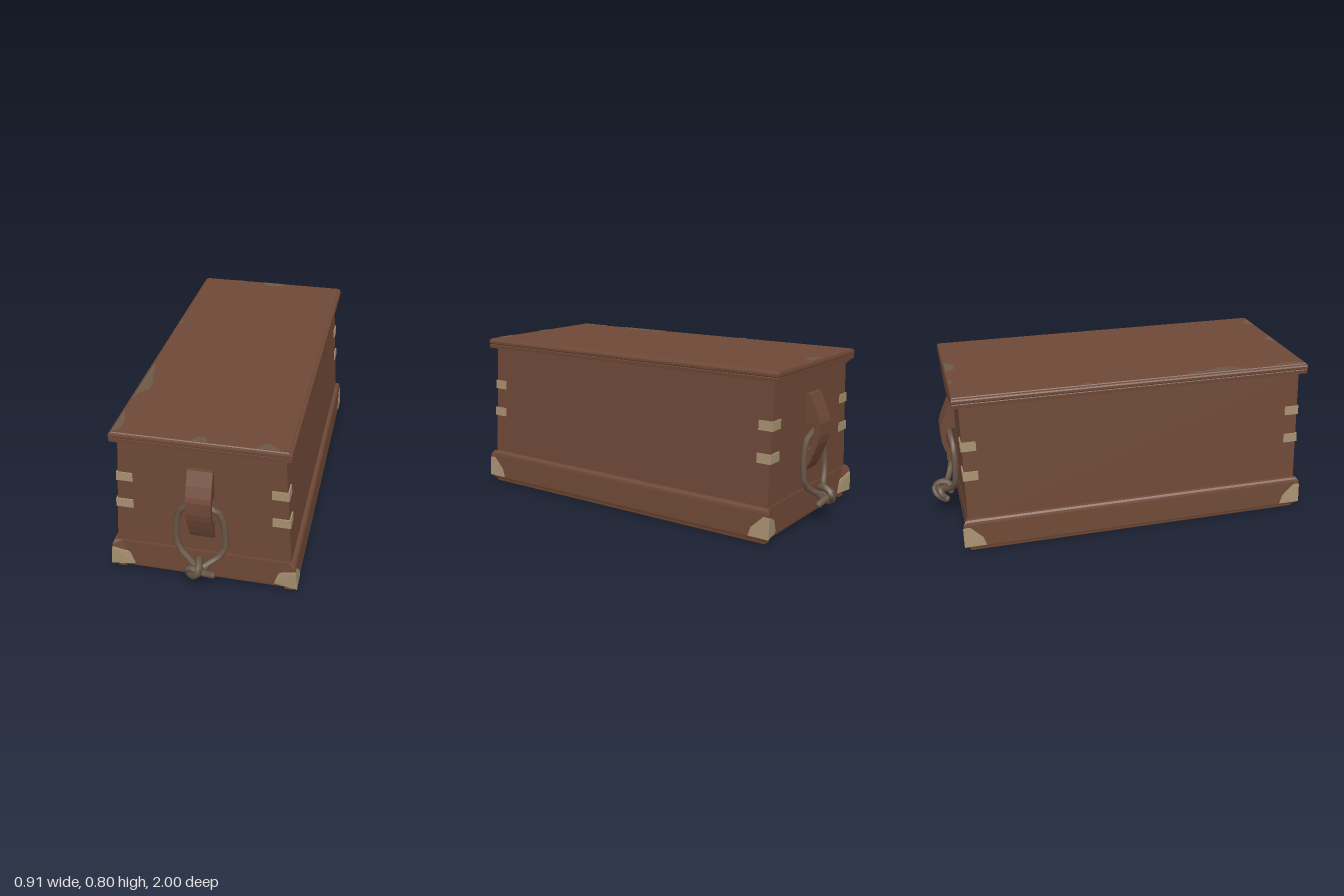
import * as THREE from 'three';
import { ConvexGeometry } from 'three/addons/geometries/ConvexGeometry.js';

const V = (x, y, z) => new THREE.Vector3(x, y, z);

// Stack of rectangular sections [y, halfX, halfZ], capped at both ends
function loft(levels) {
  const rings = levels.map(([y, x, z]) => [V(x, y, z), V(x, y, -z), V(-x, y, -z), V(-x, y, z)]);
  const pts = [];
  const quad = (a, b, c, d) => pts.push(a, b, c, a, c, d);
  for (let k = 0; k + 1 < rings.length; k++) {
    for (let i = 0; i < 4; i++) {
      const j = (i + 1) % 4;
      quad(rings[k][i], rings[k][j], rings[k + 1][j], rings[k + 1][i]);
    }
  }
  const [p, q, r, s] = rings[0];
  quad(s, r, q, p);
  quad(...rings[rings.length - 1]);
  const g = new THREE.BufferGeometry().setFromPoints(pts);
  g.computeVertexNormals();
  return g;
}

const shapeOf = pts => new THREE.Shape(pts.map(p => new THREE.Vector2(...p)));

function extrude(shape, depth) {
  return new THREE.ExtrudeGeometry(shape, { depth, bevelEnabled: false });
}

// Half width of the sloping chest sides at height y
const sideX = y => 0.42 - 0.04 * (y - 0.17) / 0.58;

export function createModel() {
  const model = new THREE.Group();
  const mat = (name, color) => {
    const m = new THREE.MeshStandardMaterial({ color });
    m.name = name;
    return m;
  };
  const wood = mat('brown wood', 0x6e4836);
  const brass = mat('pale metal', 0xa68f70);
  const ropeMat = mat('rope', 0x675545);
  const worn = mat('worn wood', 0x6c5847);
  const add = (name, geo, material, parent = model) => {
    const m = new THREE.Mesh(geo, material);
    m.name = name;
    parent.add(m);
    return m;
  };

  // Chest body, plinth with a recessed underside, and moulded lid
  add('body', loft([[0.15, sideX(0.15), 0.857], [0.76, sideX(0.76), 0.857]]), wood);
  add('plinth', loft([
    [0.045, 0.39, 0.825], [0.018, 0.39, 0.825], [0.018, 0.438, 0.856], [0.023, 0.447, 0.859],
    [0.034, 0.45, 0.86], [0.152, 0.443, 0.86], [0.164, 0.44, 0.86], [0.172, 0.432, 0.859], [0.175, 0.418, 0.858],
  ]), wood);
  add('lid', loft([
    [0.75, 0.409, 0.888], [0.768, 0.41, 0.889], [0.771, 0.407, 0.888], [0.775, 0.411, 0.89],
    [0.786, 0.411, 0.89], [0.793, 0.407, 0.888], [0.796, 0.398, 0.887], [0.8, 0.395, 0.884],
  ]), wood);

  // Runners under the long sides
  for (const sx of [1, -1]) {
    const runner = add('runner', loft([[0, 0.016, 0.85], [0.005, 0.019, 0.855], [0.022, 0.019, 0.855]]), wood);
    runner.position.x = sx * 0.41;
  }

  // Worn patches on the lid, as [x, z] outlines
  const patches = [
    [[-0.394, 0.24], [-0.375, 0.28], [-0.36, 0.38], [-0.34, 0.44], [-0.345, 0.5], [-0.375, 0.53], [-0.394, 0.6]],
    [[-0.394, 0.7], [-0.37, 0.76], [-0.36, 0.83], [-0.375, 0.87], [-0.394, 0.882]],
    [[-0.06, -0.882], [-0.03, -0.84], [0.02, -0.832], [0.06, -0.85], [0.075, -0.882]],
    [[-0.04, 0.882], [-0.02, 0.845], [0.02, 0.84], [0.04, 0.882]],
    [[0.25, 0.882], [0.28, 0.845], [0.31, 0.835], [0.36, 0.882]],
    [[-0.394, -0.28], [-0.378, -0.26], [-0.38, -0.23], [-0.394, -0.22]],
    [[-0.22, -0.882], [-0.21, -0.865], [-0.18, -0.865], [-0.17, -0.882]],
  ];
  for (const p of patches) {
    const g = new THREE.ShapeGeometry(shapeOf(p.map(([x, z]) => [x, -z])));
    add('wornPatch', g.rotateX(-Math.PI / 2).translate(0, 0.802, 0), worn);
  }

  for (const s of [1, -1]) {
    const end = new THREE.Group();
    end.name = s > 0 ? 'frontEnd' : 'backEnd';
    model.add(end);

    // Pointed flap hanging from the lid
    const flap = shapeOf([[-0.409, 0.752], [-0.38, 0.75], [-0.03, 0.687], [0.03, 0.687], [0.38, 0.75], [0.409, 0.752]]);
    add('lidFlap', extrude(flap, 0.032).translate(0, 0, s > 0 ? 0.856 : -0.888), wood, end);

    // Bowed loop that holds the rope; profile in z and y
    const bow = shapeOf([
      [0.85, 0.265], [0.866, 0.265], [0.884, 0.3], [0.905, 0.35], [0.922, 0.395], [0.931, 0.435],
      [0.932, 0.5], [0.925, 0.525], [0.905, 0.575], [0.876, 0.64], [0.85, 0.64],
    ]);
    bow.holes.push(new THREE.Path([[0.859, 0.37], [0.859, 0.5], [0.9, 0.5], [0.906, 0.43], [0.885, 0.37]].map(p => new THREE.Vector2(...p))));
    const bowGeo = extrude(bow, 0.118).translate(0, 0, -0.059).rotateY(-Math.PI / 2);
    if (s < 0) bowGeo.rotateY(Math.PI);
    add('ropeHolder', bowGeo, wood, end);

    // Rope ring and its knot
    const rope = (name, pts, r, seg) => {
      const v = pts.map(([x, y, z]) => V(x, y, z * s));
      add(name, new THREE.TubeGeometry(new THREE.CatmullRomCurve3(v), seg, r, 7), ropeMat, end);
      for (const p of [v[0], v[v.length - 1]]) {
        add('ropeEnd', new THREE.SphereGeometry(r, 7, 5).translate(p.x, p.y, p.z), ropeMat, end);
      }
    };
    rope('ropeRing', [
      [-0.02, 0.14, 0.935], [-0.065, 0.165, 0.905], [-0.107, 0.2, 0.889], [-0.122, 0.265, 0.88],
      [-0.105, 0.4, 0.877], [-0.06, 0.45, 0.884], [0, 0.462, 0.886], [0.06, 0.445, 0.884],
      [0.092, 0.415, 0.878], [0.111, 0.3, 0.879], [0.106, 0.21, 0.888], [0.065, 0.17, 0.905], [0.02, 0.145, 0.935],
    ], 0.0155, 18);
    rope('knotLoop', [
      [-0.055, 0.1, 0.935], [-0.02, 0.115, 0.975], [0.005, 0.145, 0.983], [0.003, 0.172, 0.955],
      [-0.01, 0.17, 0.91], [-0.025, 0.13, 0.905],
    ], 0.018, 12);
    rope('knotWrap', [
      [-0.05, 0.1, 0.93], [-0.055, 0.13, 0.955], [-0.03, 0.15, 0.965], [0.01, 0.135, 0.965], [0.062, 0.108, 0.945],
    ], 0.017, 10);
    rope('knotTail', [[-0.06, 0.103, 0.93], [-0.03, 0.1, 0.955], [0.005, 0.115, 0.95], [0.04, 0.155, 0.92]], 0.016, 8);

    for (const sx of [1, -1]) {
      const hull = (name, pts, material) =>
        add(name, new ConvexGeometry(pts.map(([x, y, z]) => V(x * sx, y, z * s))), material, end);

      // Metal corner guard with a wooden shoulder above it
      hull('cornerGuard', [
        [0.454, 0.036, 0.884], [0.445, 0.13, 0.885], [0.443, 0.142, 0.882], [0.34, 0.036, 0.862], [0.36, 0.1, 0.863],
        [0.452, 0.036, 0.775], [0.449, 0.08, 0.79], [0.444, 0.138, 0.85], [0.4, 0.036, 0.8], [0.4, 0.12, 0.85],
      ], brass);
      hull('cornerShoulder', [
        [0.444, 0.135, 0.883], [0.443, 0.155, 0.88], [0.433, 0.173, 0.868], [0.375, 0.11, 0.862],
        [0.4, 0.17, 0.86], [0.444, 0.13, 0.84], [0.433, 0.172, 0.84], [0.4, 0.12, 0.84],
      ], wood);

      // Two metal straps wrapped round each upright edge
      for (const [y0, y1, inner] of [[0.525, 0.57, 0.322], [0.375, 0.42, 0.327]]) {
        const a = sideX(y0) + 0.006, b = sideX(y1) + 0.006;
        const strap = (x0, x1, z0) => hull('edgeStrap', [z0, 0.863].flatMap(z =>
          [[x0, y0, z], [a, y0, z], [x1, y1, z], [b, y1, z]]), brass);
        strap(inner, inner, 0.855);
        strap(a - 0.008, b - 0.008, 0.79);
      }
    }
  }
  return model;
}
